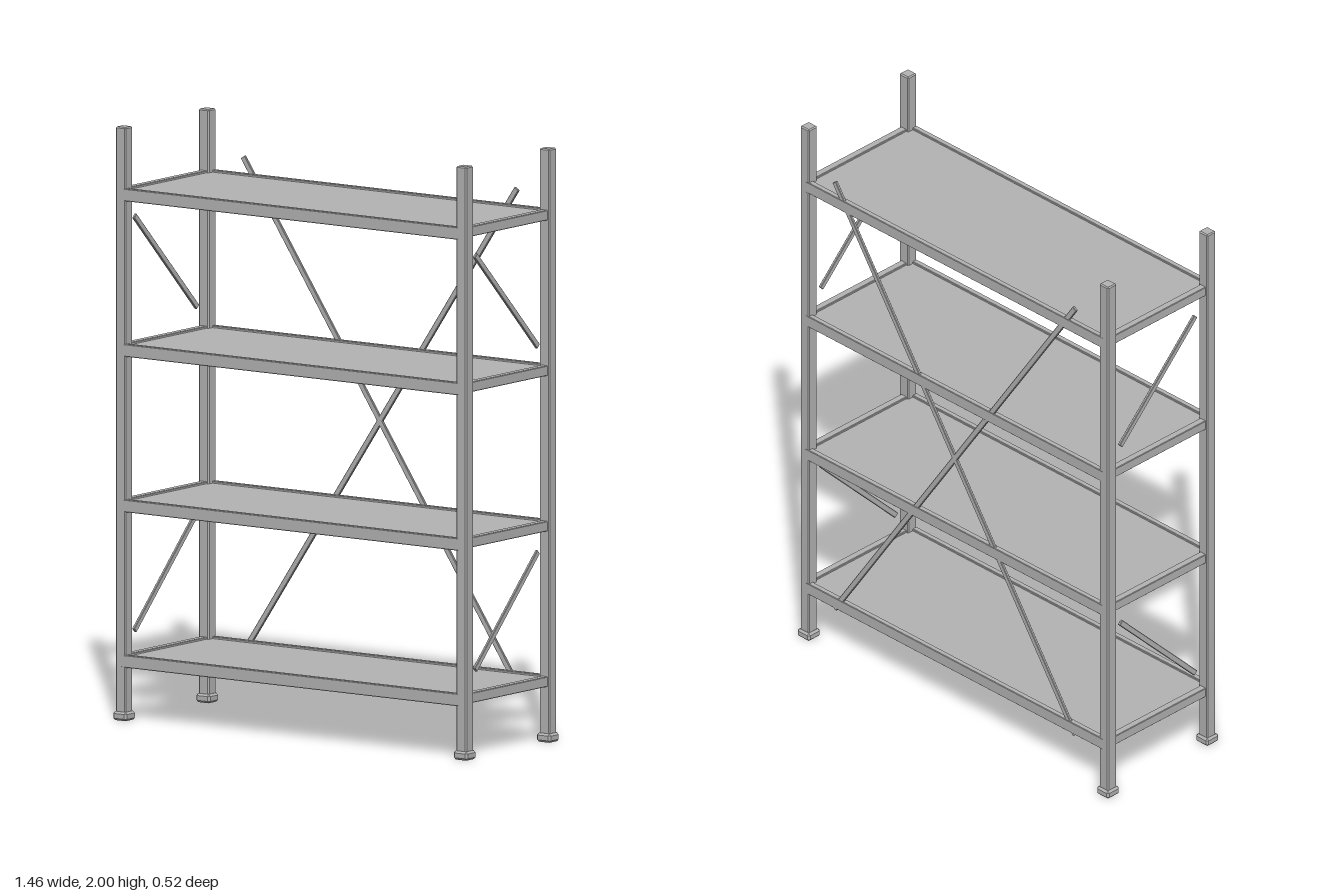
import * as THREE from 'three';
import { ConvexGeometry } from 'three/addons/geometries/ConvexGeometry.js';

const steel = new THREE.MeshStandardMaterial({ color: 0xb2b2b2 });
steel.name = 'galvanised steel grey';

// Box with chamfered edges: three points per corner, hulled
function chamferBox(w, h, d, c) {
  const points = [];
  const [x, y, z] = [w / 2, h / 2, d / 2];
  for (const sx of [-1, 1]) for (const sy of [-1, 1]) for (const sz of [-1, 1]) {
    points.push(
      new THREE.Vector3(sx * x, sy * (y - c), sz * (z - c)),
      new THREE.Vector3(sx * (x - c), sy * y, sz * (z - c)),
      new THREE.Vector3(sx * (x - c), sy * (y - c), sz * z));
  }
  return new ConvexGeometry(points);
}

export function createModel() {
  const model = new THREE.Group();
  model.name = 'shelvingRack';

  const add = (name, geometry, x, y, z, parent = model) => {
    const mesh = new THREE.Mesh(geometry, steel);
    mesh.name = name;
    mesh.position.set(x, y, z);
    parent.add(mesh);
    return mesh;
  };

  const postX = 0.703, postZ = 0.234;

  // Corner posts standing on wider feet
  const postGeo = chamferBox(0.042, 1.985, 0.041, 0.004);
  const footGeo = chamferBox(0.057, 0.03, 0.057, 0.007);
  for (const sx of [-1, 1]) for (const sz of [-1, 1]) {
    add('post', postGeo, sx * postX, 1.0075, sz * postZ);
    add('foot', footGeo, sx * postX, 0.015, sz * postZ);
  }

  // Four shelves: long beams, end beams and a slightly sunken deck
  const longBeam = chamferBox(1.4, 0.042, 0.02, 0.002);
  const endBeam = chamferBox(0.026, 0.034, 0.46, 0.002);
  const deckGeo = new THREE.BoxGeometry(1.39, 0.012, 0.474);
  for (let i = 0; i < 4; i++) {
    const shelf = new THREE.Group();
    shelf.name = 'shelf';
    shelf.position.y = 0.201 + i * 0.524;
    model.add(shelf);
    for (const s of [-1, 1]) {
      add('longBeam', longBeam, 0, 0, s * 0.245, shelf);
      add('endBeam', endBeam, s * postX, 0.004, 0, shelf);
    }
    add('deck', deckGeo, 0, 0.008, 0, shelf);
  }

  // Crossed braces on the back
  const backBrace = chamferBox(0.02, Math.hypot(1.13, 1.672), 0.01, 0.002);
  for (const s of [-1, 1]) {
    add('backBrace', backBrace, 0, 1.012, -0.249).rotation.z = s * Math.atan2(1.13, 1.672);
  }

  // Diagonal braces on each end, upper and lower
  const sideBrace = chamferBox(0.01, 0.5, 0.02, 0.002);
  for (const s of [-1, 1]) {
    add('upperSideBrace', sideBrace, s * postX, 1.515, 0).rotation.x = Math.PI / 4;
    add('lowerSideBrace', sideBrace, s * postX, 0.47, 0).rotation.x = -Math.PI / 4;
  }

  return model;
}
